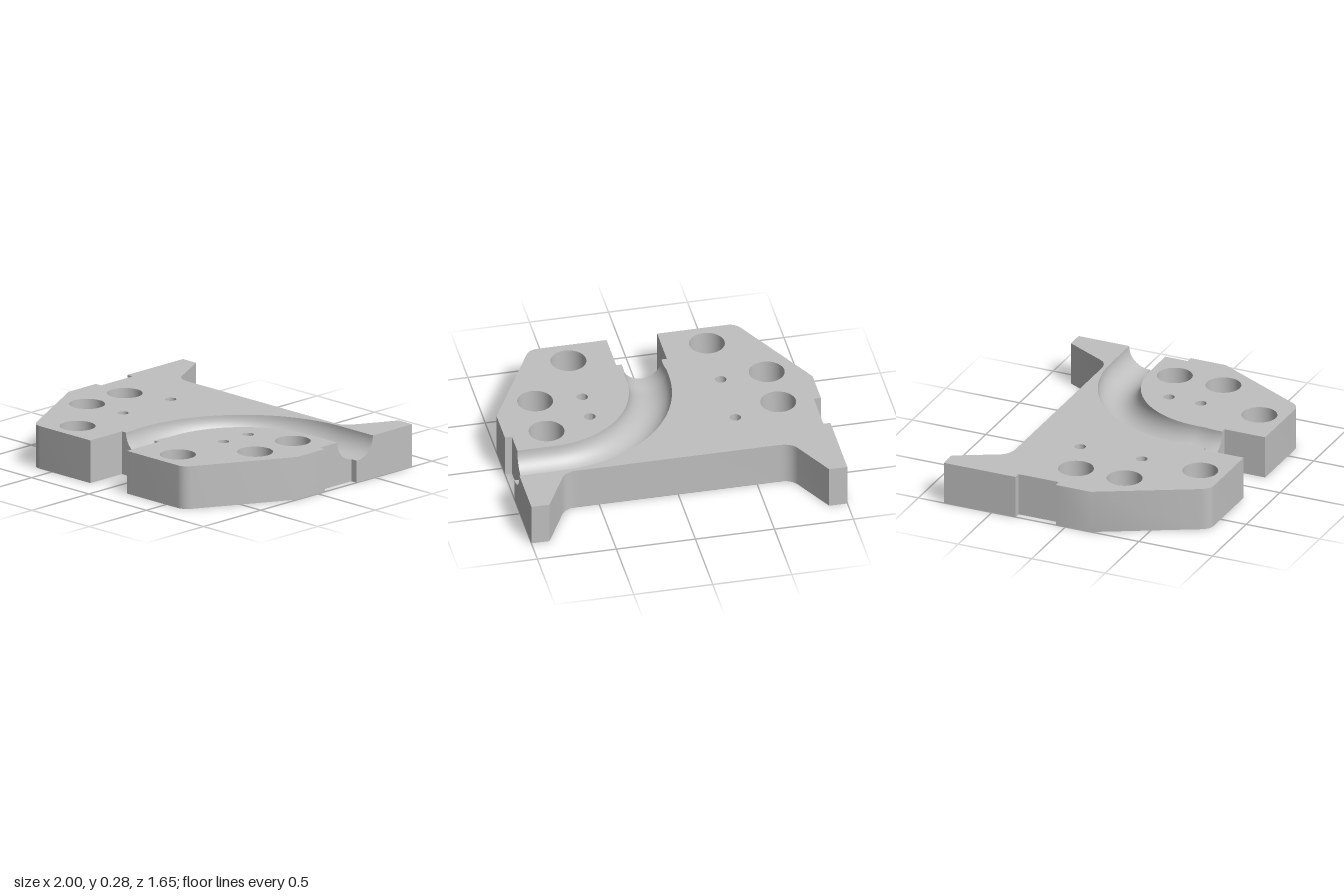
import * as THREE from 'three';
import { toCreasedNormals } from 'three/addons/utils/BufferGeometryUtils.js';

const H = 0.275;        // plate thickness
const BACK = 0.827;     // half depth
const R_FRONT = 0.125;  // channel radius at the front mouth
const R = 0.133;        // channel radius elsewhere
const BEND = 0.72;      // bend radius of the channel centre line
const SIDE_Z = -0.35;   // channel centre at the side mouth
const NOTCH_X = 0.955, NOTCH_BACK = -0.34, NOTCH_FRONT = -0.065;
const POCKET = 0.1;     // depth of the hexagonal pockets

// Rounded corner as a few points from a to b around the corner c
function fillet(a, c, b) {
  const curve = new THREE.QuadraticBezierCurve(
    new THREE.Vector2(...a), new THREE.Vector2(...c), new THREE.Vector2(...b));
  return curve.getPoints(8).map((p) => [p.x, p.y]);
}

function circle(x, z, r, n = 40) {
  return Array.from({ length: n }, (_, i) => {
    const a = (i / n) * Math.PI * 2;
    return [x + r * Math.cos(a), z - r * Math.sin(a)];
  });
}

function fromTriangles(positions) {
  const g = new THREE.BufferGeometry();
  g.setAttribute('position', new THREE.Float32BufferAttribute(positions, 3));
  return toCreasedNormals(g, 0.6);
}

// Flat horizontal face at height y, given as [x, z] points
function face(points, holes, y, up = true) {
  const flat = (list) => list.map(([x, z]) => new THREE.Vector2(x, -z));
  const shape = new THREE.Shape(flat(points));
  shape.holes = holes.map((h) => new THREE.Path(flat(h)));
  const g = new THREE.ShapeGeometry(shape);
  g.rotateX(up ? -Math.PI / 2 : Math.PI / 2);
  if (!up) g.scale(1, 1, -1).index.array.reverse();
  if (!up) {
    // keep the winding facing down after the mirror
    const p = g.attributes.position, i = g.index;
    const v = [0, 1, 2].map((k) => new THREE.Vector3().fromBufferAttribute(p, i.getX(k)));
    const n = v[1].sub(v[0]).cross(v[2].sub(v[0]));
    if (n.y > 0) i.array.reverse();
  }
  g.computeVertexNormals();
  return g.translate(0, y, 0);
}

// Closed vertical wall along the points, from y0 up to top(x, z)
function wall(points, y0, top) {
  const out = [];
  points.forEach(([ax, az], i) => {
    const [bx, bz] = points[(i + 1) % points.length];
    const at = top(ax, az), bt = top(bx, bz);
    out.push(ax, y0, az, ax, at, az, bx, bt, bz, ax, y0, az, bx, bt, bz, bx, y0, bz);
  });
  return fromTriangles(out);
}

// Half-round trough swept through sections {x, z, sx, sz, r}
function trough(sections, t0, t1, n) {
  const point = (s, j) => {
    const t = t0 + ((t1 - t0) * j) / n, c = s.r * Math.cos(t);
    return [s.x + s.sx * c, H - s.r * Math.sin(t), s.z + s.sz * c];
  };
  const out = [];
  for (let i = 0; i < sections.length - 1; i++) {
    for (let j = 0; j < n; j++) {
      const a = point(sections[i], j), b = point(sections[i], j + 1);
      const c = point(sections[i + 1], j), d = point(sections[i + 1], j + 1);
      out.push(...a, ...b, ...c, ...b, ...d, ...c);
    }
  }
  return fromTriangles(out);
}

export function createModel() {
  const group = new THREE.Group();
  const grey = new THREE.MeshStandardMaterial({ color: 0xc0c0c0, side: THREE.DoubleSide });
  grey.name = 'plain grey';
  const add = (name, geometry) => {
    const mesh = new THREE.Mesh(geometry, grey);
    mesh.name = name;
    group.add(mesh);
  };

  // Outline of the left half, from the front slot round to the rear horn
  const half = [
    [0.16, 0.55], [0.16, BACK],
    ...fillet([0.6, BACK], [0.652, BACK], [0.68, 0.775]),
    [1, 0.173], [1, NOTCH_FRONT], [NOTCH_X, NOTCH_FRONT],
  ];
  const horn = [
    [1, -BACK], [0.885, -BACK],
    ...fillet([0.745, -0.562], [0.714, -0.505], [0.635, -0.505]),
  ];
  const mirror = (pts) => pts.map(([x, z]) => [-x, z]);
  const outerChain = [
    ...mirror(half), [-NOTCH_X, NOTCH_BACK], [-1, NOTCH_BACK],
    ...mirror(horn), ...horn.slice().reverse(),
  ];
  const innerChain = half.slice().reverse();

  // Channel centre line: straight mouth, quarter bend, straight run to the side
  const sections = [[0.55, R_FRONT], [0.485, R_FRONT], [0.44, R]]
    .map(([z, r]) => ({ x: 0, z, sx: -1, sz: 0, r }));
  for (let i = 0; i <= 40; i++) {
    const a = (i / 40) * Math.PI / 2, c = Math.cos(a), s = Math.sin(a);
    sections.push({ x: BEND - BEND * c, z: SIDE_Z + BEND - BEND * s, sx: -c, sz: -s, r: R });
  }
  const last = { x: NOTCH_X, z: SIDE_Z, sx: 0, sz: -1, r: R };
  const end = { ...last, x: 1 };
  sections.push(last);
  add('channel', trough(sections, 0, Math.PI, 32));
  const split = Math.acos((SIDE_Z - NOTCH_BACK) / R);
  add('channelSideLip', trough([last, end], 0, split, 18));

  // Holes: bolt holes and small screw holes with hexagonal pockets below
  const bolts = [], screws = [], pockets = [];
  for (const s of [-1, 1]) {
    for (const [x, z] of [[0.733, -0.05], [0.733, 0.28], [0.438, 0.66]]) {
      bolts.push(circle(s * x, z, 0.111));
    }
  }
  for (const [x, z] of [[-0.438, -0.157], [-0.438, 0.262], [0.438, 0.045], [0.438, 0.262]]) {
    screws.push(circle(x, z, 0.035, 24));
    pockets.push(circle(x, z, 0.056, 6));
  }
  const all = [...bolts, ...screws];
  const onLeft = all.filter((h) => h[0][0] > 0);
  const onRight = all.filter((h) => h[0][0] < 0);

  // Top faces on both sides of the channel
  const edge = (list, k) => list.map((s) => [s.x + k * s.sx * s.r, s.z + k * s.sz * s.r]);
  add('topOutside', face(
    [...outerChain, ...edge([...sections, end], 1).reverse()], onRight, H));
  add('topInside', face([...innerChain, ...edge(sections, -1)], onLeft, H));

  // Outer walls, cut away where the channel runs out
  const arc = Array.from({ length: 33 }, (_, i) => Math.cos((i / 32) * Math.PI));
  const sideRim = arc.map((c) => SIDE_Z - R * c);
  const outline = [
    ...outerChain,
    ...sideRim.filter((z) => z < NOTCH_BACK).map((z) => [1, z]),
    [1, NOTCH_BACK], [NOTCH_X, NOTCH_BACK],
    ...sideRim.filter((z) => z > NOTCH_BACK).map((z) => [NOTCH_X, z]),
    ...innerChain,
    ...arc.map((c) => [R_FRONT * c, 0.55]),
  ];
  const rimHeight = (x, z) => {
    const dip = (d, r) => H - Math.sqrt(Math.max(0, r * r - d * d));
    if (x > 0.9) return dip(z - SIDE_Z, R);
    return z > 0.5 && z < 0.6 ? dip(x, R_FRONT) : H;
  };
  add('outerWall', wall(outline, 0, rimHeight));
  add('underside', face(
    [...outerChain, [1, NOTCH_BACK], [NOTCH_X, NOTCH_BACK], ...innerChain],
    [...bolts, ...pockets], 0, false));

  // Hole linings
  bolts.forEach((h) => add('boltHole', wall(h, 0, () => H)));
  screws.forEach((h, i) => {
    add('screwHole', wall(h, POCKET, () => H));
    add('hexPocket', wall(pockets[i], 0, () => POCKET));
    add('hexPocketCeiling', face(pockets[i], [h], POCKET, false));
  });
  return group;
}
